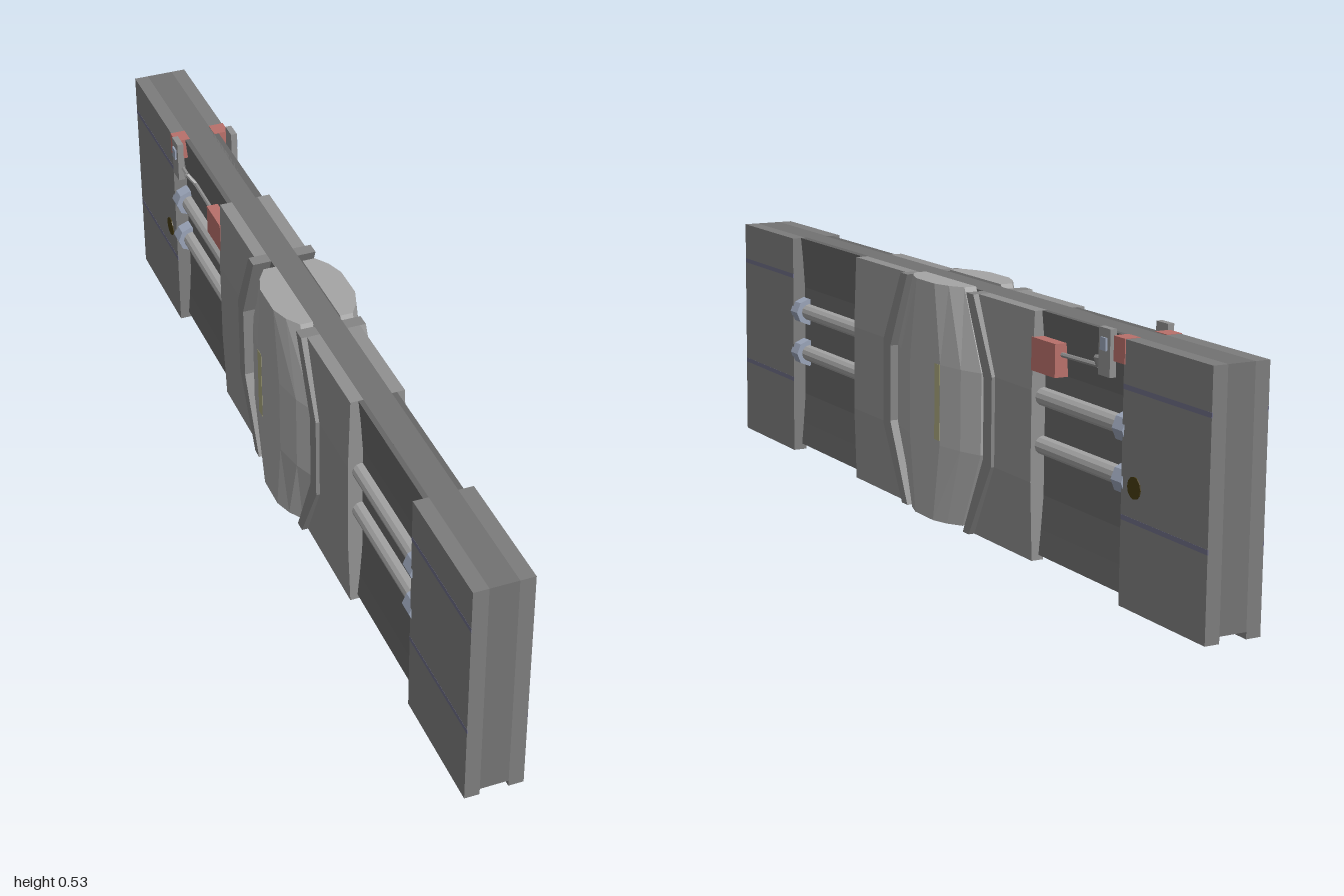
import * as THREE from 'three';

const mat = (color) => new THREE.MeshStandardMaterial({ color, flatShading: true, side: THREE.DoubleSide });
const coreGrey = mat(0x727272), recessGrey = mat(0x666666), endGrey = mat(0x7c7c7c);
const midGrey = mat(0x909090), hubGrey = mat(0xa4a4a4), rimGrey = mat(0x848484);
const steel = mat(0x98a2b6), red = mat(0xb8706a), violet = mat(0x6c6c84);
const dark = mat(0x453a12), yellow = mat(0xa8a67c);

const H = 0.52, B = 0.005;

function add(parent, name, geometry, material) {
  const mesh = new THREE.Mesh(geometry, material);
  mesh.name = name;
  parent.add(mesh);
  return mesh;
}

function box(parent, name, x0, x1, y0, y1, z0, z1, material) {
  const g = new THREE.BoxGeometry(x1 - x0, y1 - y0, z1 - z0);
  g.translate((x0 + x1) / 2, (y0 + y1) / 2, (z0 + z1) / 2);
  return add(parent, name, g, material);
}

// Extrude a (z, y) outline along x
function alongX(pts, x0, x1) {
  const shape = new THREE.Shape(pts.map(([z, y]) => new THREE.Vector2(-z, y)));
  const g = new THREE.ExtrudeGeometry(shape, { depth: x1 - x0, bevelEnabled: false });
  return g.rotateY(Math.PI / 2).translate(x0, 0, 0);
}

// Closed solid from (x, z) plan outlines at rising heights
function stack(levels) {
  const pos = [], idx = [], n = levels[0].plan.length;
  for (const { y, plan } of levels) for (const [x, z] of plan) pos.push(x, y, z);
  for (let l = 0; l < levels.length - 1; l++) {
    for (let i = 0; i < n; i++) {
      const a = l * n + i, b = l * n + (i + 1) % n;
      idx.push(a, a + n, b, b, a + n, b + n);
    }
  }
  const top = (levels.length - 1) * n;
  for (let i = 1; i < n - 1; i++) idx.push(0, i, i + 1, top, top + i + 1, top + i);
  const g = new THREE.BufferGeometry();
  g.setAttribute('position', new THREE.Float32BufferAttribute(pos, 3));
  g.setIndex(idx);
  const flat = g.toNonIndexed();
  flat.computeVertexNormals();
  return flat;
}

// Faceted bulge, widest at mid height
function hubGeometry() {
  const plan = [[0.03, -1], [0.058, -1], [0.078, -0.72], [0.091, -0.36], [0.091, 0.36], [0.078, 0.72], [0.058, 1], [0.03, 1]];
  const levels = [[0.01, 0.11], [0.18, 0.185], [0.355, 0.185], [0.525, 0.11]];
  return stack(levels.map(([y, w]) => ({ y, plan: plan.map(([x, z]) => [x, z * w + 0.01]) })));
}

// Panel whose inner edge is cut back around the hub, thinner at top and bottom
function midPanelGeometry(s, zOuter) {
  const rows = [[B, 0.15, 0.057], [0.17, 0.24, 0.063], [0.36, 0.24, 0.063], [H, 0.16, 0.058]];
  return stack(rows.map(([y, zInner, x]) => {
    const plan = [[0.03, zInner], [x, zInner], [x, zOuter], [0.03, zOuter]].map(([px, z]) => [px, s * z]);
    return { y, plan: s > 0 ? plan : plan.reverse() };
  }));
}

function pipe(parent, name, r, y, z0, z1, sides, material) {
  const g = new THREE.CylinderGeometry(r, r, Math.abs(z1 - z0), sides);
  g.rotateX(Math.PI / 2).translate(0.035, y, (z0 + z1) / 2);
  return add(parent, name, g, material);
}

// Everything on the +x face; the other face is its mirror image
function buildSide() {
  const side = new THREE.Group();
  for (const s of [1, -1]) {
    const zi = s > 0 ? 0.4 : 0.385, ze = s > 0 ? 0.725 : 0.715;
    const [z0, z1] = s > 0 ? [ze, 1] : [-1, -ze];

    // End panel with two painted lines
    box(side, 'endPanel', 0.03, 0.062, 0.002, H, z0, z1, endGrey);
    for (const y of [0.178, 0.43]) box(side, 'paintLine', 0.06, 0.0623, y - 0.005, y + 0.005, z0, z1, violet);

    // Recess lining, hollowed at mid height
    const lining = [[0.016, 0.041], [0.07, 0.036], [0.14, 0.031], [0.4, 0.031], [0.47, 0.036], [H, 0.041]];
    add(side, 'recessLining', stack(lining.map(([y, x]) => {
      const plan = [[0.025, zi], [x, zi], [x, ze], [0.025, ze]].map(([px, z]) => [px, s * z]);
      return { y, plan: s > 0 ? plan : plan.reverse() };
    })), recessGrey);

    // Mid panel and the raised rim following the hub
    add(side, 'midPanel', midPanelGeometry(s, zi), midGrey);
    const rim = [[0.16, H], [0.24, 0.36], [0.24, 0.17], [0.15, B], [0.125, B], [0.207, 0.18], [0.207, 0.35], [0.13, H]];
    add(side, 'hubRim', alongX(rim.map(([z, y]) => [s * z, y]), 0.03, 0.071), rimGrey);

    // Pair of pipes with faceted collars
    for (const y of [0.245, 0.345]) {
      pipe(side, 'pipe', 0.019, y, s * (zi - 0.01), s * ze, 12, hubGrey);
      pipe(side, 'pipeCollar', 0.032, y, s * (ze - 0.03), s * (ze + 0.006), 8, steel);
    }
  }

  // Hub with a painted stripe
  add(side, 'hub', hubGeometry(), hubGrey);
  box(side, 'hubStripe', 0.088, 0.0916, 0.19, 0.355, -0.056, -0.034, yellow);

  // Latch: red housing, bent rod, bracket and red mount
  box(side, 'latchHousing', 0.03, 0.062, 0.4, 0.468, -0.47, -0.38, red);
  const path = [[0.045, 0.445, -0.46], [0.045, 0.448, -0.6], [0.06, 0.468, -0.615], [0.06, 0.47, -0.66]];
  for (let i = 0; i < path.length - 1; i++) {
    const line = new THREE.LineCurve3(new THREE.Vector3(...path[i]), new THREE.Vector3(...path[i + 1]));
    add(side, 'latchRod', new THREE.TubeGeometry(line, 1, 0.005, 6), midGrey);
  }
  box(side, 'latchBracket', 0.058, 0.072, 0.44, 0.533, -0.682, -0.642, midGrey);
  box(side, 'latchButton', 0.07, 0.076, 0.49, 0.515, -0.672, -0.652, steel);
  box(side, 'latchMount', 0.03, 0.064, 0.472, 0.521, -0.72, -0.68, red);

  // Round port on the rear panel
  const port = new THREE.CylinderGeometry(0.022, 0.022, 0.004, 12).rotateZ(Math.PI / 2);
  add(side, 'port', port.translate(0.062, 0.243, -0.76), dark);
  return side;
}

// Mirror across x, restoring the winding of the faces
function mirrorSide(side) {
  const copy = side.clone(true);
  for (const mesh of copy.children) {
    const g = mesh.geometry.index ? mesh.geometry.toNonIndexed() : mesh.geometry.clone();
    g.scale(-1, 1, 1);
    const p = g.attributes.position;
    for (let i = 0; i < p.count; i += 3) {
      const b = new THREE.Vector3().fromBufferAttribute(p, i + 1);
      const c = new THREE.Vector3().fromBufferAttribute(p, i + 2);
      p.setXYZ(i + 1, c.x, c.y, c.z);
      p.setXYZ(i + 2, b.x, b.y, b.z);
    }
    g.computeVertexNormals();
    mesh.geometry = g;
  }
  return copy;
}

export function createModel() {
  const model = new THREE.Group();
  model.name = 'barrier';

  // The wall leans very slightly to its right
  const wall = new THREE.Group();
  wall.name = 'wall';
  wall.rotation.z = 0.01;
  wall.position.x = 0.0026;
  model.add(wall);

  // Core slab, its underside set above the panels' lower edges
  box(wall, 'coreWall', -0.03, 0.03, 0.016, H, -1, 1, coreGrey);

  const left = buildSide();
  left.name = 'leftSide';
  const right = mirrorSide(left);
  right.name = 'rightSide';
  wall.add(left, right);
  return model;
}
